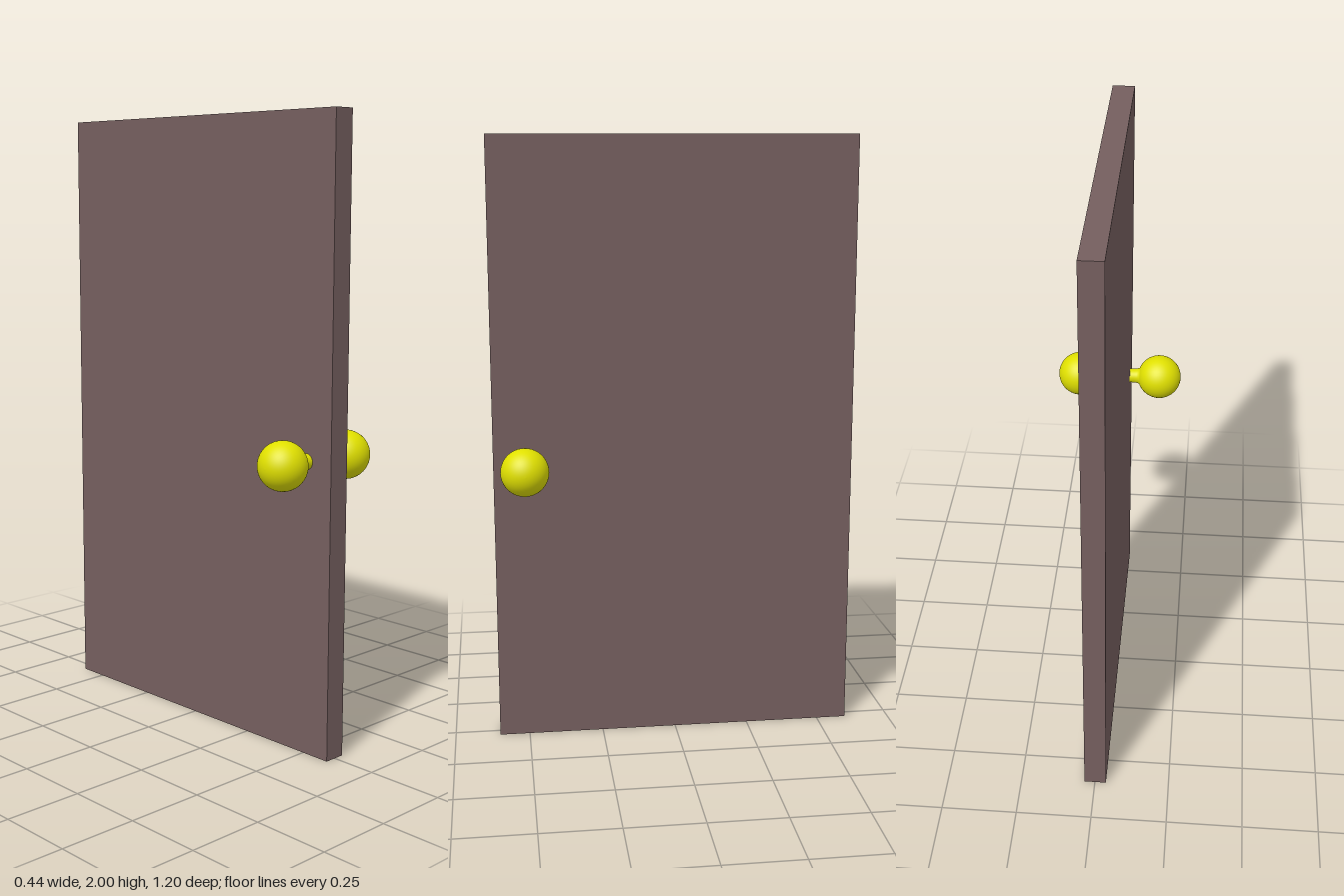
import * as THREE from 'three';

const WIDTH = 1.2, HEIGHT = 2, THICKNESS = 0.073;

// Door slab: a box left open on its underside
function slabGeometry() {
  const g = new THREE.BoxGeometry(THICKNESS, HEIGHT, WIDTH);
  const index = Array.from(g.index.array);
  index.splice(18, 6); // drop the bottom face
  g.setIndex(index);
  g.clearGroups();
  return g;
}

// Knob and stem turned as one profile, running out along +x
function knobGeometry() {
  const r = 0.078, centre = 0.144, start = 0.38;
  const profile = [[0.025, 0], [0.025, 0.05], [0.026, 0.062]].map(([x, y]) => new THREE.Vector2(x, y));
  const steps = 28;
  for (let i = 0; i <= steps; i++) {
    const a = start + (Math.PI - start) * i / steps;
    profile.push(new THREE.Vector2(Math.max(0, r * Math.sin(a)), centre - r * Math.cos(a)));
  }
  return new THREE.LatheGeometry(profile, 40).rotateZ(-Math.PI / 2);
}

export function createModel() {
  const model = new THREE.Group();
  model.name = 'door';
  const paint = new THREE.MeshStandardMaterial({ color: 0x755f5f, side: THREE.DoubleSide });
  const brass = new THREE.MeshStandardMaterial({ color: 0xe0e000 });

  const slab = new THREE.Mesh(slabGeometry(), paint);
  slab.name = 'slab';
  slab.position.set(-0.001, HEIGHT / 2, 0);
  model.add(slab);

  // One knob on each side
  const geometry = knobGeometry();
  for (const [name, turn] of [['leftKnob', 0], ['rightKnob', Math.PI]]) {
    const knob = new THREE.Mesh(geometry, brass);
    knob.name = name;
    knob.position.set(0, 0.94, 0.5);
    knob.rotation.y = turn;
    model.add(knob);
  }
  return model;
}
